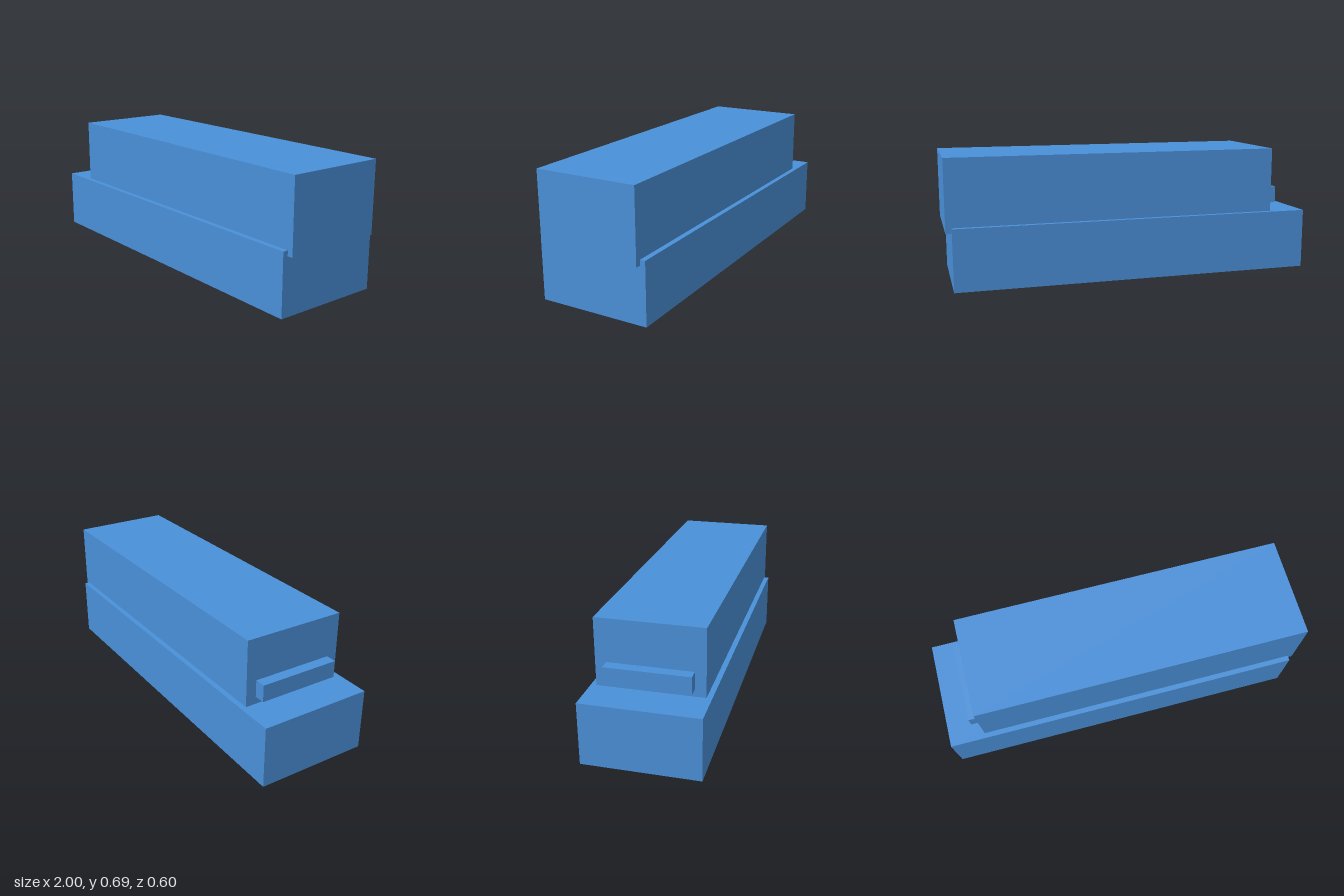
import * as THREE from 'three';

const material = new THREE.MeshStandardMaterial({ color: 0x4a90d9 });

// Box given by its extents along x and y, centred on z
function block(name, [x0, x1], [y0, y1], depth) {
  const mesh = new THREE.Mesh(new THREE.BoxGeometry(x1 - x0, y1 - y0, depth), material);
  mesh.position.set((x0 + x1) / 2, (y0 + y1) / 2, 0);
  mesh.name = name;
  return mesh;
}

export function createModel() {
  const model = new THREE.Group();
  model.name = 'stackedBlocks';
  model.add(
    // Wide lower block
    block('base', [-1, 0.97], [0, 0.33], 0.604),
    // Narrower upper block, sunk slightly into the base and overhanging one end
    block('upperBody', [-0.805, 1], [0.302, 0.686], 0.548),
    // Ledge across the end of the upper block
    block('endLedge', [-0.863, -0.805], [0.37, 0.46], 0.436),
  );
  return model;
}
